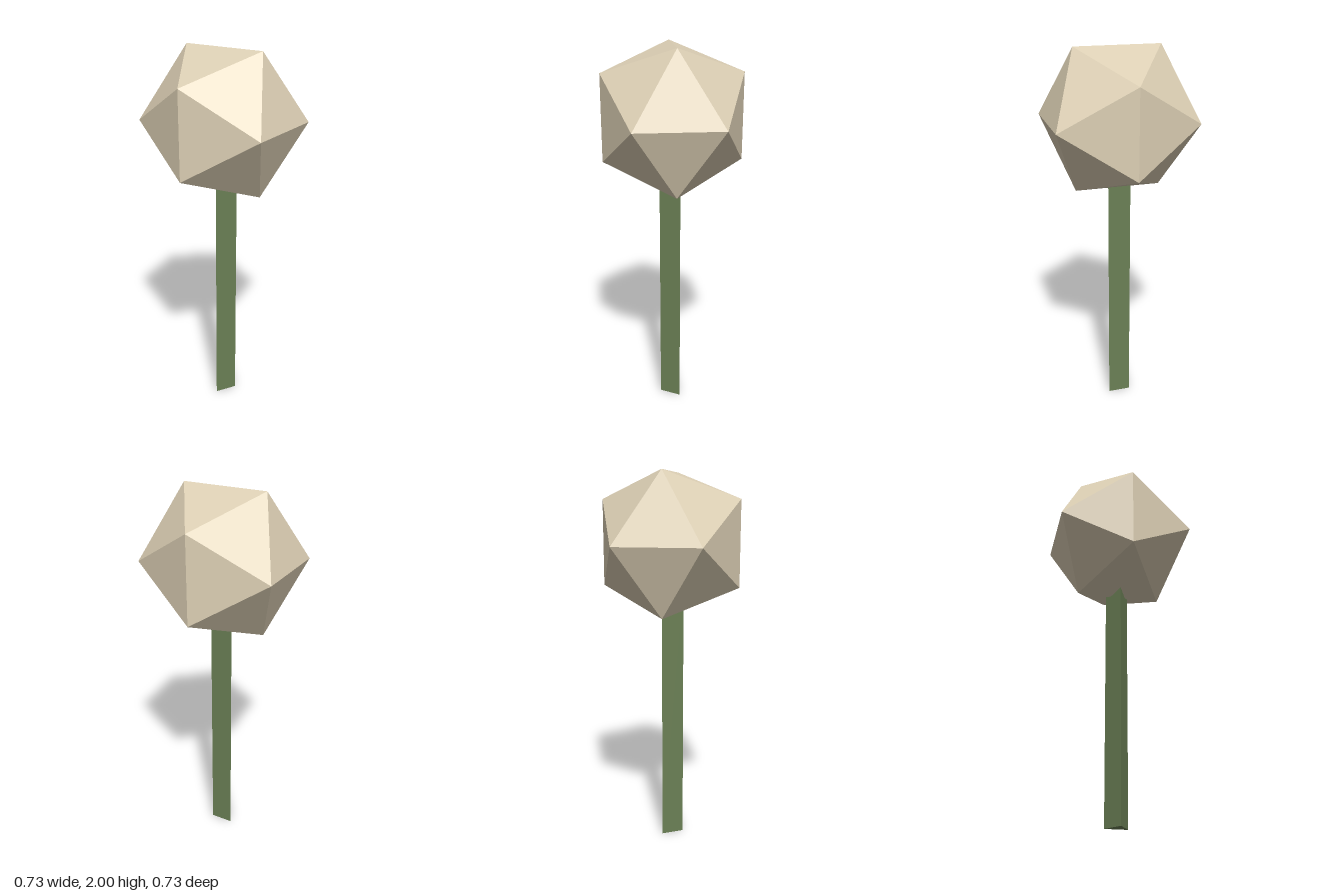
import * as THREE from 'three';

const HEAD_RADIUS = 0.43;
const HEAD_Y = 1.634;
const STEM_HEIGHT = 1.4;

function addPart(group, name, geometry, material, y) {
  const mesh = new THREE.Mesh(geometry, material);
  mesh.name = name;
  mesh.position.y = y;
  group.add(mesh);
}

export function createModel() {
  const group = new THREE.Group();
  group.name = 'flowerBud';

  const cream = new THREE.MeshStandardMaterial({ color: 0xddd0b5, flatShading: true });
  cream.name = 'cream';
  const green = new THREE.MeshStandardMaterial({ color: 0x6b8055, flatShading: true });
  green.name = 'stem green';

  // Three-sided stem, one ridge facing the front, its top sunk into the head
  addPart(group, 'stem', new THREE.CylinderGeometry(0.07, 0.07, STEM_HEIGHT, 3), green, STEM_HEIGHT / 2);

  // Twenty-sided head, with one edge on top and one below
  addPart(group, 'head', new THREE.IcosahedronGeometry(HEAD_RADIUS, 0), cream, HEAD_Y);

  return group;
}
